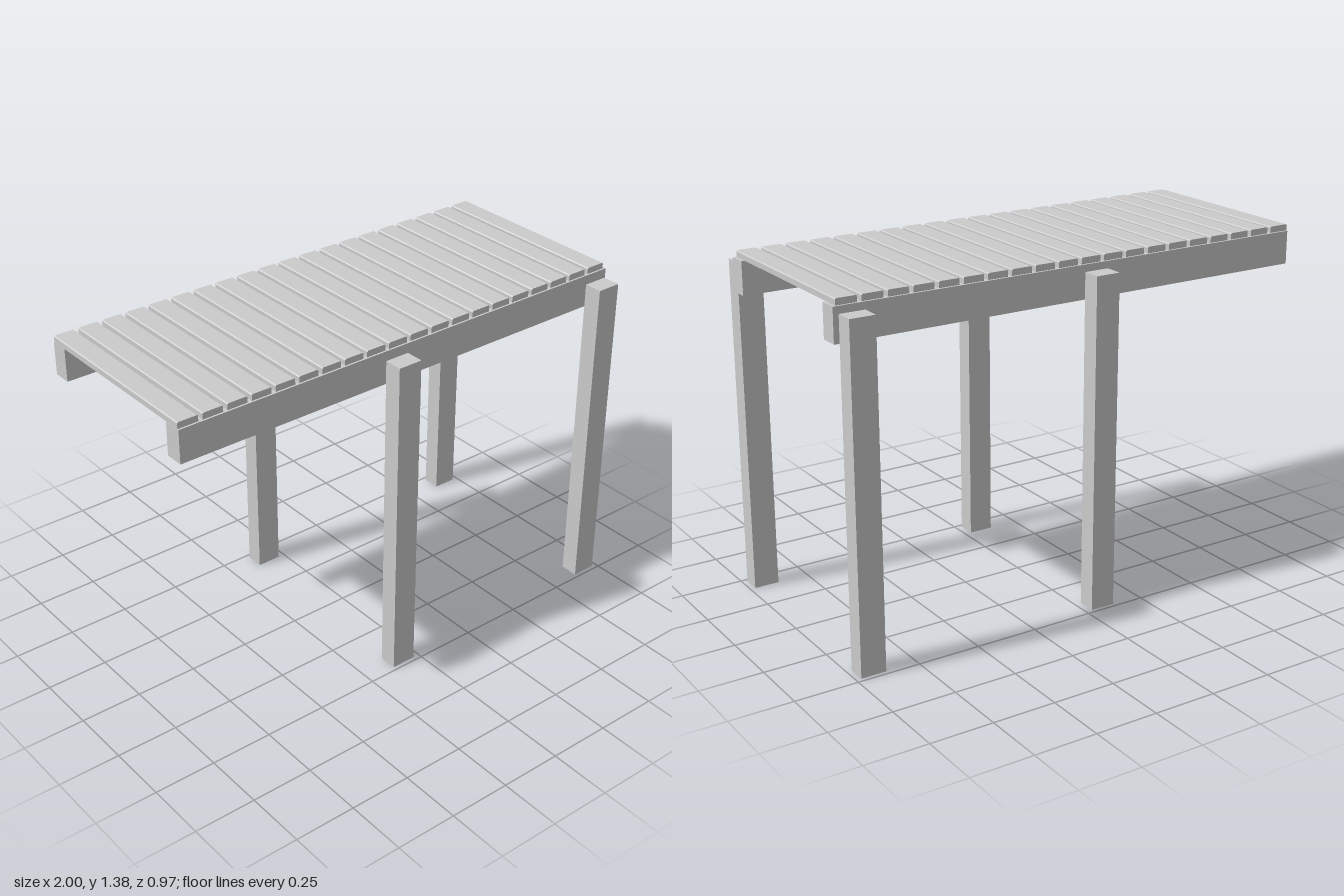
import * as THREE from 'three';

const material = new THREE.MeshStandardMaterial({ color: 0xcccccc, flatShading: true });

// Box given by its extents along each axis
function beam(name, [x0, x1], [y0, y1], [z0, z1]) {
  const mesh = new THREE.Mesh(new THREE.BoxGeometry(x1 - x0, y1 - y0, z1 - z0), material);
  mesh.position.set((x0 + x1) / 2, (y0 + y1) / 2, (z0 + z1) / 2);
  mesh.name = name;
  return mesh;
}

// Deck board: thin section with slightly eased top edges, run along z
function plankGeometry(width, height, length, ease) {
  const section = new THREE.Shape([
    new THREE.Vector2(0, 0),
    new THREE.Vector2(width, 0),
    new THREE.Vector2(width, height - ease),
    new THREE.Vector2(width - ease, height),
    new THREE.Vector2(ease, height),
    new THREE.Vector2(0, height - ease),
  ]);
  return new THREE.ExtrudeGeometry(section, { depth: length, bevelEnabled: false });
}

export function createModel() {
  const model = new THREE.Group();
  model.name = 'slattedPlatform';

  // Four posts standing outside the side beams
  for (const [place, x] of [['Middle', [-0.128, -0.027]], ['End', [0.878, 0.979]]]) {
    model.add(beam(`front${place}Post`, x, [0, 1.33], [0.409, 0.483]));
    model.add(beam(`back${place}Post`, x, [0, 1.33], [-0.483, -0.409]));
  }

  // Long beams carrying the deck
  model.add(beam('frontBeam', [-1, 1], [1.226, 1.358], [0.319, 0.393]));
  model.add(beam('backBeam', [-1, 1], [1.226, 1.358], [-0.408, -0.334]));

  // Deck of evenly spaced cross planks
  const deck = new THREE.Group();
  deck.name = 'deck';
  const count = 20;
  const geometry = plankGeometry(0.083, 0.025, 0.79, 0.004);
  for (let i = 0; i < count; i++) {
    const plank = new THREE.Mesh(geometry, material);
    plank.name = 'plank';
    plank.position.set(-1 + (i * 1.905) / (count - 1), 1.359, -0.403);
    deck.add(plank);
  }
  model.add(deck);

  return model;
}
